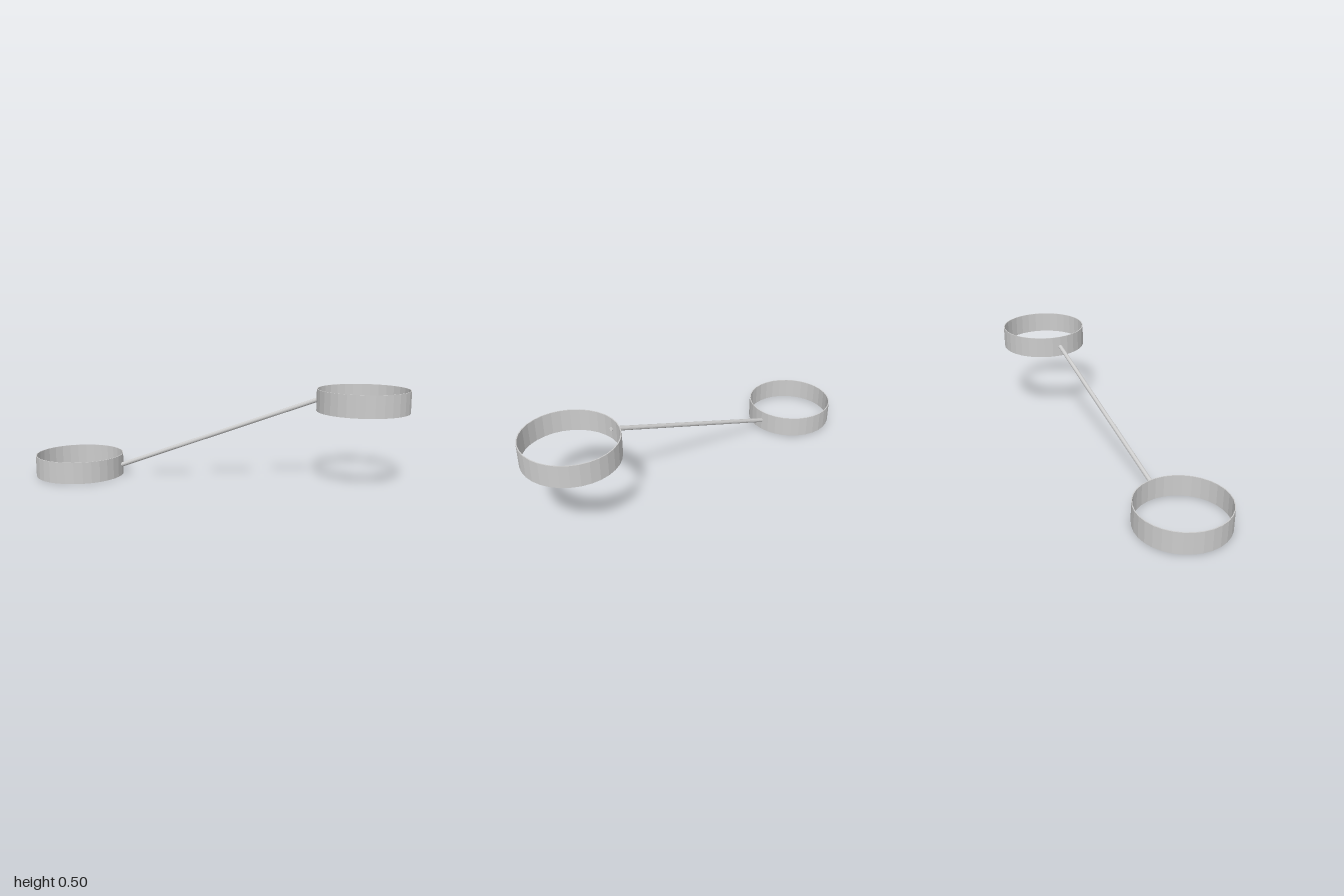
import * as THREE from 'three';

const RADIUS = 0.2375, WALL = 0.005, HEIGHT = 0.114, OFFSET = 0.7625;

// Open band with a thin wall, faceted
function makeRing(name, x, y, material) {
  const inner = RADIUS - WALL;
  const profile = [[inner, 0], [RADIUS, 0], [RADIUS, HEIGHT], [inner, HEIGHT], [inner, 0]]
    .map(([r, h]) => new THREE.Vector2(r, h));
  const geometry = new THREE.LatheGeometry(profile, 32).toNonIndexed();
  geometry.computeVertexNormals();
  const ring = new THREE.Mesh(geometry, material);
  ring.name = name;
  ring.position.set(x, y, 0);
  return ring;
}

// Straight round bar between two points
function makeRod(name, start, end, radius, material) {
  const axis = end.clone().sub(start);
  const rod = new THREE.Mesh(new THREE.CylinderGeometry(radius, radius, axis.length(), 16), material);
  rod.name = name;
  rod.position.copy(start).add(end).multiplyScalar(0.5);
  rod.quaternion.setFromUnitVectors(new THREE.Vector3(0, 1, 0), axis.normalize());
  return rod;
}

export function createModel() {
  const metal = new THREE.MeshStandardMaterial({ color: 0xcccccc, flatShading: true });
  metal.name = 'light grey metal';

  const model = new THREE.Group();
  model.name = 'linkedRings';
  model.add(
    makeRing('lowerRing', -OFFSET, 0, metal),
    makeRing('upperRing', OFFSET, 0.5 - HEIGHT, metal),
    // The bar pokes slightly through the wall of the upper ring
    makeRod('connectingRod', new THREE.Vector3(-0.525, 0.058, 0),
      new THREE.Vector3(0.533, 0.443, 0), 0.0115, metal)
  );
  return model;
}
